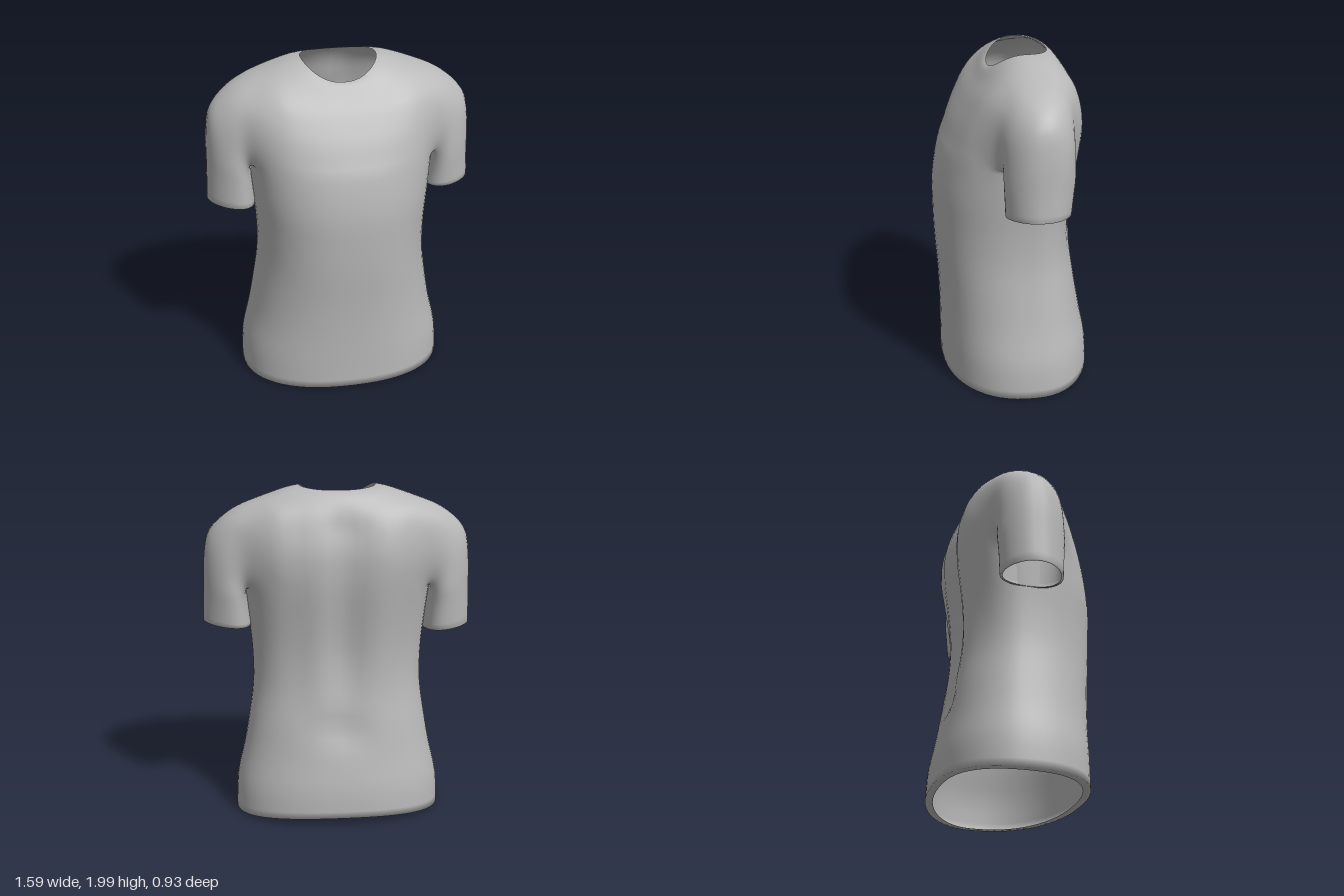
import * as THREE from 'three';

const { smoothstep } = THREE.MathUtils;
const N = 64;        // points around the torso
const SUB = 3;       // rings between two key sections
const HALF = 5;      // half width of an armhole, in columns
const ARM_LO = 7, ARM_HI = 11; // key sections that bound the armholes

// Torso sections: y at sides, front, back; half width; front z, back z, side z; roundness
const KEYS = [
  [0.01, 0.02, 0.06, 0.625, 0.43, -0.46, -0.05, 0.87],
  [0.2, 0.2, 0.22, 0.615, 0.43, -0.45, -0.05, 0.87],
  [0.4, 0.4, 0.4, 0.57, 0.432, -0.415, -0.05, 0.87],
  [0.6, 0.6, 0.6, 0.535, 0.44, -0.385, -0.04, 0.87],
  [0.8, 0.8, 0.8, 0.508, 0.455, -0.35, -0.03, 0.87],
  [1.0, 1.0, 1.0, 0.508, 0.463, -0.34, -0.03, 0.86],
  [1.2, 1.2, 1.2, 0.525, 0.462, -0.355, -0.035, 0.83],
  [1.42, 1.4, 1.42, 0.55, 0.427, -0.385, -0.055, 0.79],
  [1.55, 1.5, 1.55, 0.585, 0.387, -0.393, -0.07, 0.74],
  [1.68, 1.59, 1.65, 0.605, 0.347, -0.388, -0.075, 0.72],
  [1.8, 1.67, 1.75, 0.61, 0.302, -0.365, -0.08, 0.72],
  [1.895, 1.75, 1.84, 0.585, 0.252, -0.33, -0.085, 0.74],
  [1.945, 1.82, 1.91, 0.42, 0.197, -0.288, -0.09, 0.78],
  [1.985, 1.875, 1.965, 0.295, 0.157, -0.245, -0.09, 0.82],
  [1.997, 1.895, 1.985, 0.22, 0.13, -0.21, -0.06, 0.85],
];

// Catmull-Rom interpolation of a whole section
function section(t) {
  const last = KEYS.length - 1;
  const k = Math.min(Math.floor(t), last - 1), u = t - k;
  const at = (i) => KEYS[Math.max(0, Math.min(last, i))];
  return KEYS[0].map((_, c) => {
    const [p, q, r, s] = [at(k - 1)[c], at(k)[c], at(k + 1)[c], at(k + 2)[c]];
    return q + 0.5 * u * (r - p + u * (2 * p - 5 * q + 4 * r - s + u * (3 * (q - r) + s - p)));
  });
}

// Spine groove and hanging folds on the back
function backFold(x, y) {
  const rise = smoothstep(y, 0.45, 1.1) * (1 - smoothstep(y, 1.75, 1.95));
  const groove = 0.045 * Math.exp(-((x / 0.1) ** 2));
  const folds = 0.01 * Math.cos(x * 19 + 0.6 + y * 0.8);
  const dent = 0.03 * Math.exp(-((x / 0.16) ** 2) - ((y - 0.58) / 0.1) ** 2);
  return rise * (groove + folds) + dent;
}

// Evens out the cloth where sleeves and shoulders meet
function relax(pos, index, rounds) {
  const near = Array.from({ length: pos.length / 3 }, () => new Set());
  for (let f = 0; f < index.length; f += 3) {
    const tri = index.slice(f, f + 3);
    for (const a of tri) for (const b of tri) if (a !== b) near[a].add(b);
  }
  const weight = near.map((_, i) => {
    const x = Math.abs(pos[i * 3]), y = pos[i * 3 + 1];
    return 0.5 * smoothstep(x, 0.33, 0.5) * (1 - smoothstep(x, 0.68, 0.78)) * smoothstep(y, 1.38, 1.54);
  });
  for (let r = 0; r < rounds; r++) {
    const old = pos.slice();
    near.forEach((set, i) => {
      if (weight[i] === 0) return;
      for (let c = 0; c < 3; c++) {
        let sum = 0;
        for (const n of set) sum += old[n * 3 + c];
        pos[i * 3 + c] += weight[i] * (sum / set.size - old[i * 3 + c]);
      }
    });
  }
}

export function createModel() {
  const fabric = new THREE.MeshStandardMaterial({ color: 0xb8b8b8, side: THREE.DoubleSide });
  fabric.name = 'grey fabric';
  const pos = [];
  const faces = { torso: [], leftSleeve: [], rightSleeve: [] };
  const add = (x, y, z) => pos.push(x, y, z) / 3 - 1;
  const quad = (list, a, b, c, d, flip) =>
    flip ? list.push(a, d, c, a, c, b) : list.push(a, b, c, a, c, d);

  // One closed ring around the torso; inset makes the turned-in hem
  function ring(t, inset = 0) {
    const [ys, yf, yb, w, f, b, c, e] = section(t);
    const ids = [];
    for (let i = 0; i < N; i++) {
      const a = (i / N) * Math.PI * 2, cs = Math.cos(a), sn = Math.sin(a);
      const x = (w - inset) * Math.sign(cs) * Math.abs(cs) ** 0.87;
      const y = ys + ((sn > 0 ? yf : yb) - ys) * sn * sn;
      const z = sn > 0
        ? c + (f - c - inset) * sn ** e
        : c + (b - c + inset) * Math.abs(sn) ** e + backFold(x, y) * sn * sn;
      ids.push(add(x, y, z));
    }
    return ids;
  }

  // Torso grid, leaving out the armholes
  const rows = [];
  const count = (KEYS.length - 1) * SUB;
  for (let j = 0; j <= count; j++) rows.push(ring(j / SUB));
  const lo = ARM_LO * SUB, hi = ARM_HI * SUB;
  const nearSide = (i) => [0, N / 2].some((m) => {
    const d = ((i - m + N + N / 2) % N) - N / 2;
    return d >= -HALF && d < HALF;
  });
  const strip = (r0, r1, skip) => {
    for (let i = 0; i < N; i++) {
      if (skip && nearSide(i)) continue;
      const n = (i + 1) % N;
      quad(faces.torso, r0[i], r0[n], r1[n], r1[i], true);
    }
  };
  for (let j = 0; j < count; j++) strip(rows[j], rows[j + 1], j >= lo && j < hi);

  // Turned-in hem
  strip(ring(0, 0.045), rows[0]);

  // Sleeves grow out of the armhole edges and hang down
  const STEPS = 16;
  function sleeve(side, list, drop) {
    const col = (o) => (side > 0 ? (o + N) % N : N / 2 - o);
    const loop = [];
    for (let o = 0; o < HALF; o++) loop.push(rows[hi][col(o)]);
    for (let j = hi; j > lo; j--) loop.push(rows[j][col(HALF)]);
    for (let o = HALF; o > -HALF; o--) loop.push(rows[lo][col(o)]);
    for (let j = lo; j < hi; j++) loop.push(rows[j][col(-HALF)]);
    for (let o = -HALF; o < 0; o++) loop.push(rows[hi][col(o)]);

    const path = (pts) => new THREE.SplineCurve(pts.map((p) => new THREE.Vector2(...p)));
    const outer = path([[0.585, 1.895], [0.69, 1.84], [0.76, 1.73], [0.785, 1.55], [0.79, 1.37], [0.797, 1.205 - drop]]);
    const under = path([[0.54, 1.42], [0.535, 1.4], [0.53, 1.36], [0.525, 1.3], [0.52, 1.25], [0.51, 1.18 - drop]]);
    const start = loop.map((id) => new THREE.Vector3().fromArray(pos, id * 3));
    const angles = start.map((p) => Math.atan2((p.z + 0.05) / 0.2, (p.y - 1.655) / 0.235));

    // Point on the sleeve at distance t from the shoulder: egg-shaped, deepest near the body
    const tube = (t, a, tuck = 1) => {
      const o = outer.getPoint(t), u = under.getPoint(t);
      const m = 0.5 + (0.5 * Math.cos(a) - 0.12 * t ** 0.5 * Math.sin(a) ** 2) * tuck;
      const z = -0.06 + 0.01 * t + (0.225 - 0.04 * t) * Math.sin(a) * tuck;
      return new THREE.Vector3(side * (u.x + (o.x - u.x) * m), u.y + (o.y - u.y) * m, z);
    };
    // The shift of the armhole edge fades out along the sleeve
    const shift = angles.map((a, i) => start[i].clone().sub(tube(0, a)));

    let prev = loop;
    const join = (points) => {
      const next = points.map((p) => add(...p));
      for (let i = 0; i < next.length; i++) {
        const n = (i + 1) % next.length;
        quad(list, prev[i], prev[n], next[n], next[i], side < 0);
      }
      prev = next;
    };
    for (let k = 1; k <= STEPS; k++) {
      const t = k / STEPS, keep = Math.max(0, 1 - t * 1.7) ** 2;
      join(angles.map((a, i) => tube(t, a).addScaledVector(shift[i], keep)));
    }
    // Turned-in cuff
    join(angles.map((a) => tube(1, a, 0.92)));
  }
  sleeve(1, faces.leftSleeve, 0);
  sleeve(-1, faces.rightSleeve, 0.04);

  const index = Object.values(faces).flat();
  relax(pos, index, 14);

  // Normals are shared across the armhole seams so the cloth stays smooth
  const whole = new THREE.BufferGeometry();
  whole.setAttribute('position', new THREE.Float32BufferAttribute(pos, 3));
  whole.setIndex(index);
  whole.computeVertexNormals();

  const shirt = new THREE.Group();
  shirt.name = 'shirt';
  for (const [name, part] of Object.entries(faces)) {
    const geo = new THREE.BufferGeometry();
    geo.setAttribute('position', whole.getAttribute('position'));
    geo.setAttribute('normal', whole.getAttribute('normal'));
    geo.setIndex(part);
    const mesh = new THREE.Mesh(geo, fabric);
    mesh.name = name;
    shirt.add(mesh);
  }
  return shirt;
}
